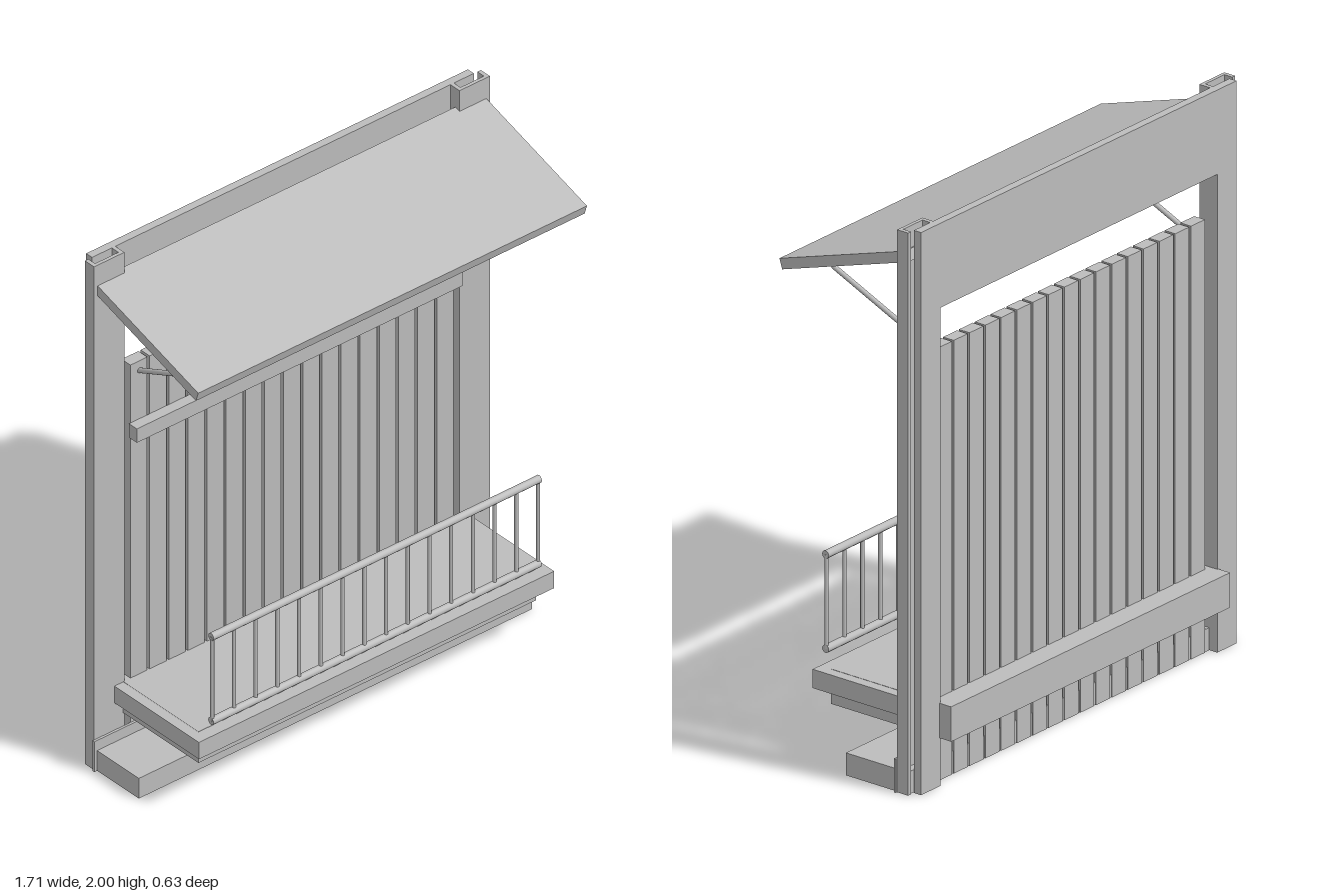
import * as THREE from 'three';

export function createModel() {
  const model = new THREE.Group();
  model.name = 'shopWindowWithAwning';
  const grey = new THREE.MeshStandardMaterial({ color: 0xbcbcbc });
  grey.name = 'grey';

  const add = (name, geometry, parent = model) => {
    const mesh = new THREE.Mesh(geometry, grey);
    mesh.name = name;
    parent.add(mesh);
    return mesh;
  };
  const group = (name) => {
    const g = new THREE.Group();
    g.name = name;
    model.add(g);
    return g;
  };
  // Box given by its limits on each axis
  const box = (name, x0, x1, y0, y1, z0, z1, parent) => {
    const mesh = add(name, new THREE.BoxGeometry(x1 - x0, y1 - y0, z1 - z0), parent);
    mesh.position.set((x0 + x1) / 2, (y0 + y1) / 2, (z0 + z1) / 2);
    return mesh;
  };
  // Round bar between two points
  const bar = (name, a, b, radius, parent) => {
    const from = new THREE.Vector3(...a), to = new THREE.Vector3(...b);
    const dir = to.clone().sub(from);
    const mesh = add(name, new THREE.CylinderGeometry(radius, radius, dir.length(), 12), parent);
    mesh.position.copy(from).add(to).multiplyScalar(0.5);
    mesh.quaternion.setFromUnitVectors(new THREE.Vector3(0, 1, 0), dir.normalize());
    return mesh;
  };
  const extrude = (points, depth) => new THREE.ExtrudeGeometry(
    new THREE.Shape(points.map(([x, y]) => new THREE.Vector2(x, y))),
    { depth, bevelEnabled: false });

  // Back frame: two legs joined by a deep header
  add('backFrame', extrude([
    [-0.82, 0], [-0.72, 0], [-0.72, 1.7], [0.72, 1.7],
    [0.72, 0], [0.82, 0], [0.82, 2], [-0.82, 2],
  ], 0.03)).position.z = -0.266;

  // Hollow channel posts in front of the frame, open at the top
  for (const side of [-1, 1]) {
    const profile = [
      [0.72, 0.236], [0.72, 0.19], [0.85, 0.19], [0.85, 0.236],
      [0.835, 0.236], [0.835, 0.203], [0.735, 0.203], [0.735, 0.236],
    ].map(([x, z]) => [side * x, z]);
    const post = add(side > 0 ? 'leftPost' : 'rightPost', extrude(profile, 2));
    post.rotation.x = -Math.PI / 2;
  }

  // Vertical planks with narrow gaps, and the crossbar that ties them
  const planks = group('planks');
  const count = 17, pitch = 1.398 / count;
  for (let i = 0; i < count; i++) {
    const x = (i - (count - 1) / 2) * pitch;
    box('plank', x - 0.036, x + 0.036, 0, 1.54, -0.235, -0.19, planks);
  }
  box('crossbar', -0.7, 0.7, 1.255, 1.31, -0.19, -0.15);

  // Sloping awning and its two struts
  const awning = add('awning', new THREE.BoxGeometry(1.67, 0.038, 0.555));
  awning.position.set(0, 1.823, 0.048);
  awning.rotation.x = 0.305;
  for (const x of [-0.655, 0.655]) {
    bar('awningStrut', [x, 1.5, -0.195], [x, 1.693, 0.238], 0.009);
  }

  // Counter: inner board running through to the back, with a wider top slab
  box('counterBoard', -0.725, 0.725, 0.172, 0.296, -0.316, 0.19);
  box('counterTop', -0.763, 0.763, 0.228, 0.295, -0.19, 0.237);

  // Railing above the counter edge
  const railing = group('railing');
  for (const y of [0.35, 0.685]) {
    bar('rail', [-0.705, y, 0.23], [0.705, y, 0.23], 0.014, railing);
  }
  for (let i = 0; i <= 15; i++) {
    const x = -0.7 + (i * 1.4) / 15;
    bar('baluster', [x, 0.35, 0.23], [x, 0.685, 0.23], 0.007, railing);
  }

  // Step at the foot and the thin kick plate behind it
  box('step', -0.845, 0.845, 0, 0.08, -0.232, 0.03);
  box('kickPlate', -0.857, 0.857, 0, 0.12, -0.19, -0.181);

  return model;
}
